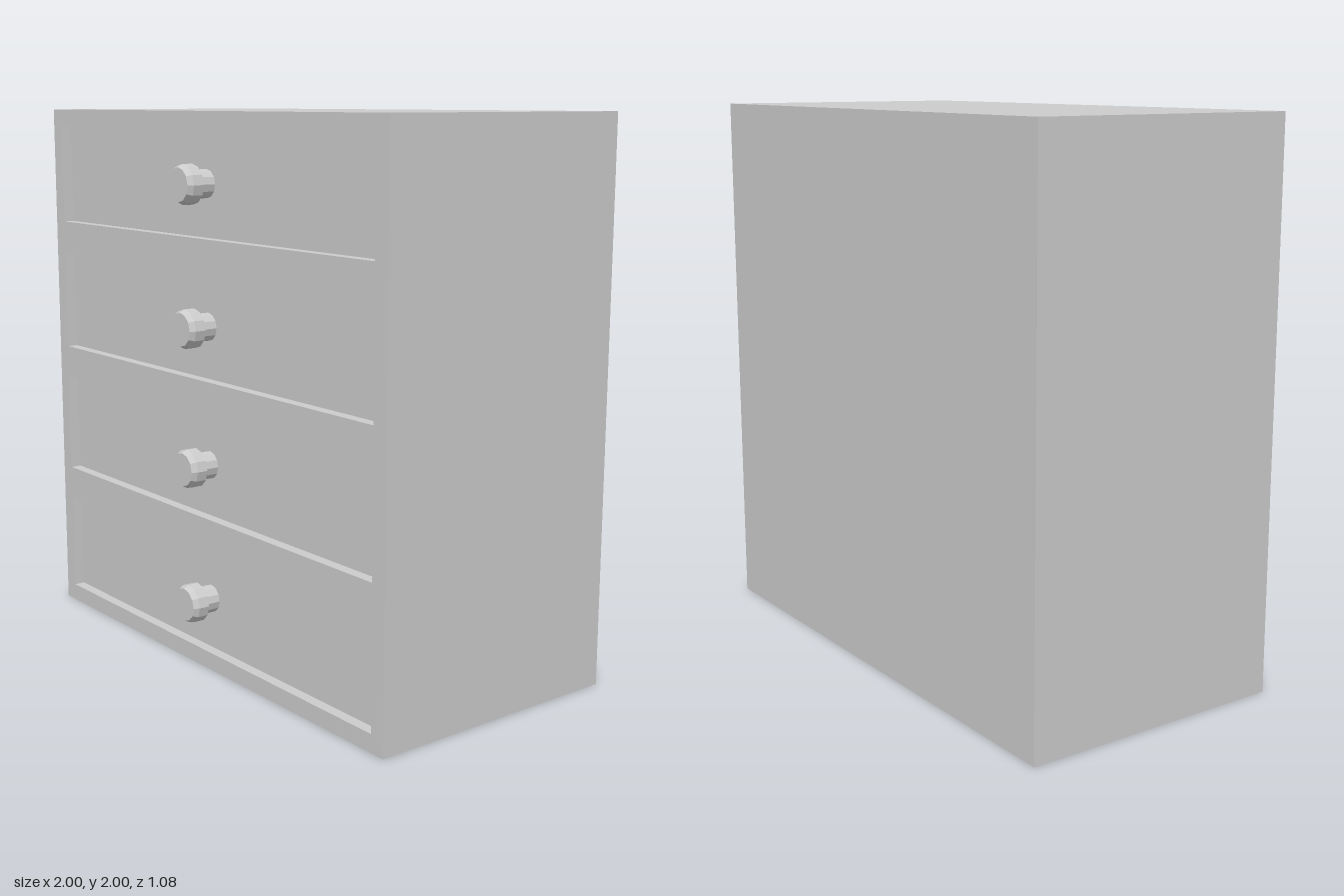
import * as THREE from 'three';

const WIDTH = 2, HEIGHT = 2, BACK = -0.54, FRONT = 0.46;
const FRAME = 0.06, RECESS = 0.04;
const DRAWERS = 4, DRAWER_W = 1.88, DRAWER_H = 0.375;

export function createModel() {
  const model = new THREE.Group();
  model.name = 'chestOfDrawers';
  const material = new THREE.MeshStandardMaterial({ color: 0xcccccc, flatShading: true });

  const add = (parent, name, geometry, x, y, z) => {
    const mesh = new THREE.Mesh(geometry, material);
    mesh.name = name;
    mesh.position.set(x, y, z);
    parent.add(mesh);
    return mesh;
  };

  const rectangle = (PathType, cy, w, h) => new PathType([
    [-w / 2, cy - h / 2], [w / 2, cy - h / 2], [w / 2, cy + h / 2], [-w / 2, cy + h / 2],
  ].map(([x, y]) => new THREE.Vector2(x, y)));

  const drawerY = (i) => 0.252 + i * 0.5;

  // Solid cabinet behind the front frame
  const depth = FRONT - FRAME - BACK;
  add(model, 'cabinetBody', new THREE.BoxGeometry(WIDTH, HEIGHT, depth), 0, HEIGHT / 2, BACK + depth / 2);

  // Front frame with one opening per drawer
  const face = rectangle(THREE.Shape, HEIGHT / 2, WIDTH, HEIGHT);
  for (let i = 0; i < DRAWERS; i++) {
    face.holes.push(rectangle(THREE.Path, drawerY(i), DRAWER_W, DRAWER_H));
  }
  const frame = new THREE.ExtrudeGeometry(face, { depth: FRAME, bevelEnabled: false });
  add(model, 'frontFrame', frame, 0, 0, FRONT - FRAME);

  // Recessed drawer fronts, each with a faceted knob on a short stem
  const thickness = FRAME - RECESS;
  const panel = new THREE.BoxGeometry(DRAWER_W, DRAWER_H, thickness);
  const knob = new THREE.LatheGeometry([
    [0.05, 0], [0.05, 0.06], [0.07, 0.06], [0.07, 0.1], [0.06, 0.12], [0, 0.12],
  ].map(([r, y]) => new THREE.Vector2(r, y)), 12).rotateX(Math.PI / 2);

  for (let i = 0; i < DRAWERS; i++) {
    const drawer = new THREE.Group();
    drawer.name = `drawer${i + 1}`;
    drawer.position.set(0, drawerY(i), FRONT - RECESS);
    add(drawer, 'drawerFront', panel, 0, 0, -thickness / 2);
    add(drawer, 'knob', knob, 0, 0, 0);
    model.add(drawer);
  }

  return model;
}
